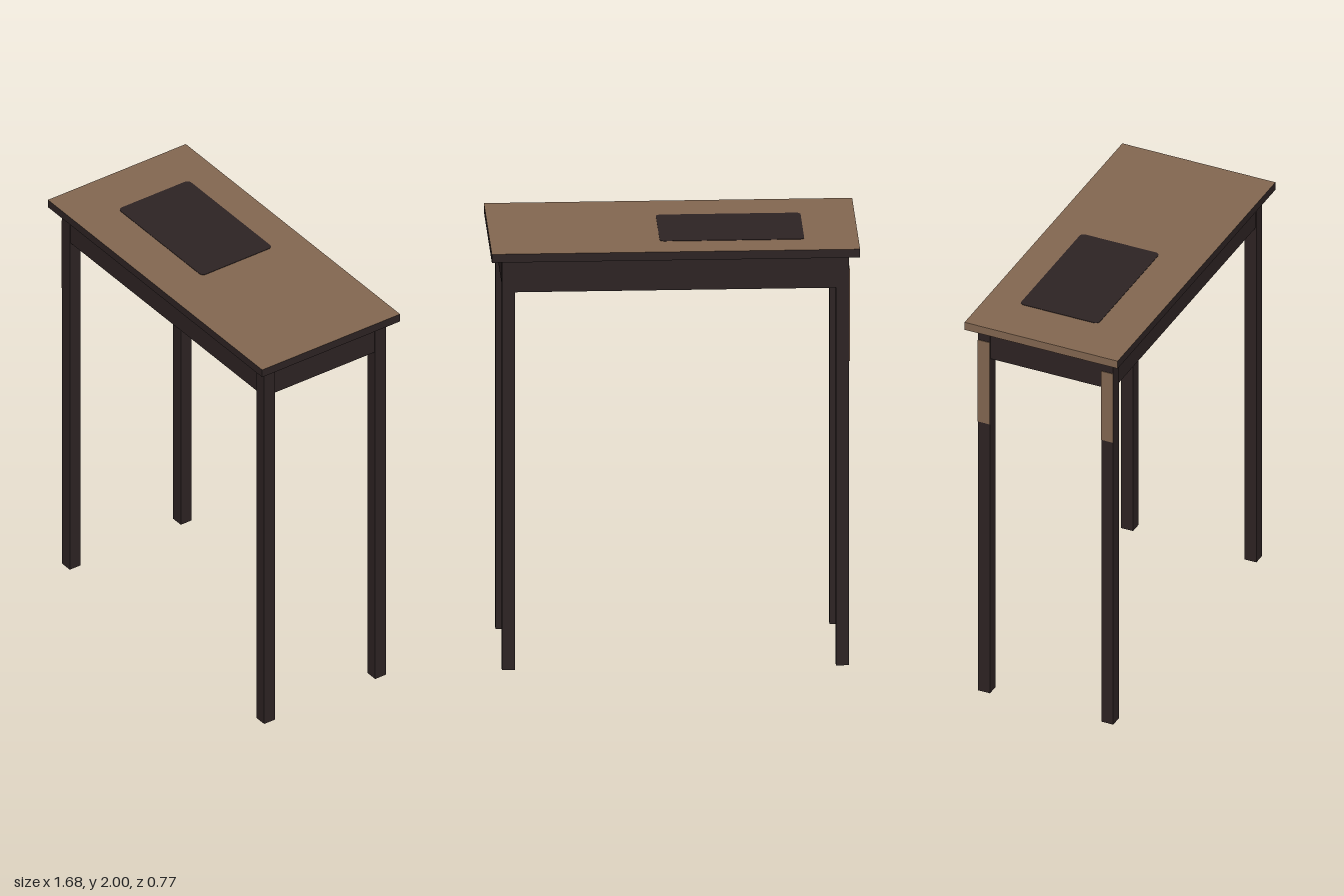
import * as THREE from 'three';

export function createModel() {
  const model = new THREE.Group();
  model.name = 'sideTable';

  const dark = new THREE.MeshStandardMaterial({ color: 0x2d2323 });
  dark.name = 'darkWood';
  const brown = new THREE.MeshStandardMaterial({ color: 0x836751 });
  brown.name = 'brownWood';

  function box(name, w, h, d, x, y, z, material = dark) {
    const mesh = new THREE.Mesh(new THREE.BoxGeometry(w, h, d), material);
    mesh.name = name;
    mesh.position.set(x, y, z);
    model.add(mesh);
    return mesh;
  }

  // Table top: brown upper face and right edge, dark elsewhere
  box('tableTop', 1.676, 0.04, 0.77, 0, 1.978, 0, [dark, brown, brown, dark, dark, dark]);

  // Four square legs
  const legX = 0.76, legZ = 0.31, leg = 0.06;
  for (const sx of [-1, 1]) {
    for (const sz of [-1, 1]) {
      box('leg', leg, 1.958, leg, sx * legX, 0.979, sz * legZ);
    }
  }

  // Apron rails between the legs
  const railH = 0.158, railY = 1.879, railT = 0.05;
  for (const s of [-1, 1]) {
    box('longApron', 2 * legX - leg, railH, railT, 0, railY, s * legZ);
    box('shortApron', railT, railH, 2 * legZ - leg, s * legX, railY, 0);
  }

  // Bare wood panels on the outer faces of the right legs
  for (const [z, bottom] of [[-legZ, 1.45], [legZ, 1.52]]) {
    const h = 1.89 - bottom;
    box('legPanel', 0.003, h, leg, -legX - leg / 2 - 0.0015, bottom + h / 2, z, brown);
  }

  // Dark rounded pad on the table top
  const x0 = -0.592, x1 = 0.066, y0 = -0.17, y1 = 0.225, r = 0.022;
  const pad = new THREE.Shape();
  pad.absarc(x1 - r, y1 - r, r, 0, Math.PI / 2);
  pad.absarc(x0 + r, y1 - r, r, Math.PI / 2, Math.PI);
  pad.absarc(x0 + r, y0 + r, r, Math.PI, Math.PI * 1.5);
  pad.absarc(x1 - r, y0 + r, r, Math.PI * 1.5, Math.PI * 2);
  const padGeometry = new THREE.ExtrudeGeometry(pad, { depth: 0.002, bevelEnabled: false, curveSegments: 6 });
  padGeometry.rotateX(-Math.PI / 2);
  const padMesh = new THREE.Mesh(padGeometry, dark);
  padMesh.name = 'deskPad';
  padMesh.position.y = 1.998;
  model.add(padMesh);

  return model;
}
